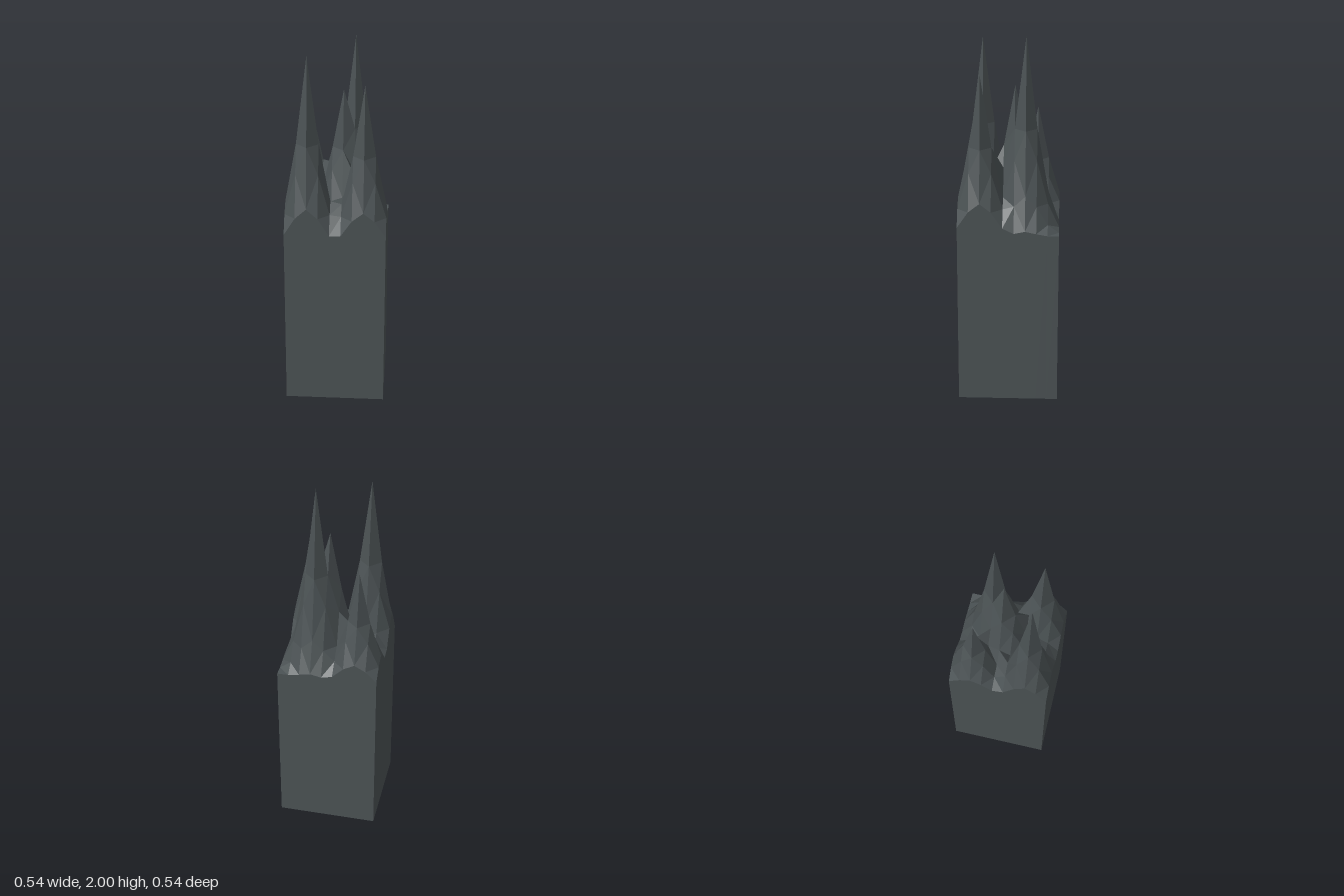
import * as THREE from 'three';

const N = 9, HALF = 0.272, STEP = (2 * HALF) / N, BASE = 0.96;

// Spires: grid column, grid row (from the back), tip height, falloff power
const SPIRES = [
  [2, 7, 1.95, 1.95],
  [7, 7, 1.80, 1.85],
  [6, 3, 2.00, 1.95],
  [5, 4, 1.72, 1.65],
  [2, 2, 1.565, 1.95],
];

// Height of the rock at a grid point: the tallest spire wins
function heightAt(i, j) {
  let h = BASE;
  for (const [ci, cj, tip, power] of SPIRES) {
    const fall = Math.max(0, 1 - Math.hypot(i - ci, j - cj) / 3.5);
    h = Math.max(h, BASE + (tip - BASE) * fall ** power);
  }
  return h;
}

const point = (i, j, y = heightAt(i, j)) => [-HALF + i * STEP, y, -HALF + j * STEP];

function meshFrom(name, corners, material) {
  const geometry = new THREE.BufferGeometry();
  geometry.setAttribute('position', new THREE.Float32BufferAttribute(corners.flat(), 3));
  geometry.computeVertexNormals();
  const mesh = new THREE.Mesh(geometry, material);
  mesh.name = name;
  return mesh;
}

export function createModel() {
  const group = new THREE.Group();
  group.name = 'spiredRockColumn';
  const stone = new THREE.MeshStandardMaterial({ color: 0x4b5254, flatShading: true });

  // Jagged top: each cell is split along its shorter diagonal
  const top = [];
  for (let j = 0; j < N; j++) {
    for (let i = 0; i < N; i++) {
      const a = point(i, j), b = point(i, j + 1), c = point(i + 1, j + 1), d = point(i + 1, j);
      if (Math.abs(a[1] - c[1]) < Math.abs(b[1] - d[1])) top.push(a, b, c, a, c, d);
      else top.push(a, b, d, b, c, d);
    }
  }
  group.add(meshFrom('jaggedTop', top, stone));

  // Column walls: follow the rim counterclockwise as seen from above
  const rim = [];
  for (let k = 0; k < N; k++) rim.push([k, N]);
  for (let k = N; k > 0; k--) rim.push([N, k]);
  for (let k = N; k > 0; k--) rim.push([k, 0]);
  for (let k = 0; k < N; k++) rim.push([0, k]);
  const walls = [];
  rim.forEach(([i, j], n) => {
    const [i2, j2] = rim[(n + 1) % rim.length];
    const a = point(i, j, 0), b = point(i2, j2, 0), c = point(i2, j2), d = point(i, j);
    walls.push(a, b, c, a, c, d);
  });
  group.add(meshFrom('columnWalls', walls, stone));

  // Underside
  const underside = new THREE.Mesh(new THREE.PlaneGeometry(2 * HALF, 2 * HALF).rotateX(Math.PI / 2), stone);
  underside.name = 'underside';
  group.add(underside);

  return group;
}
